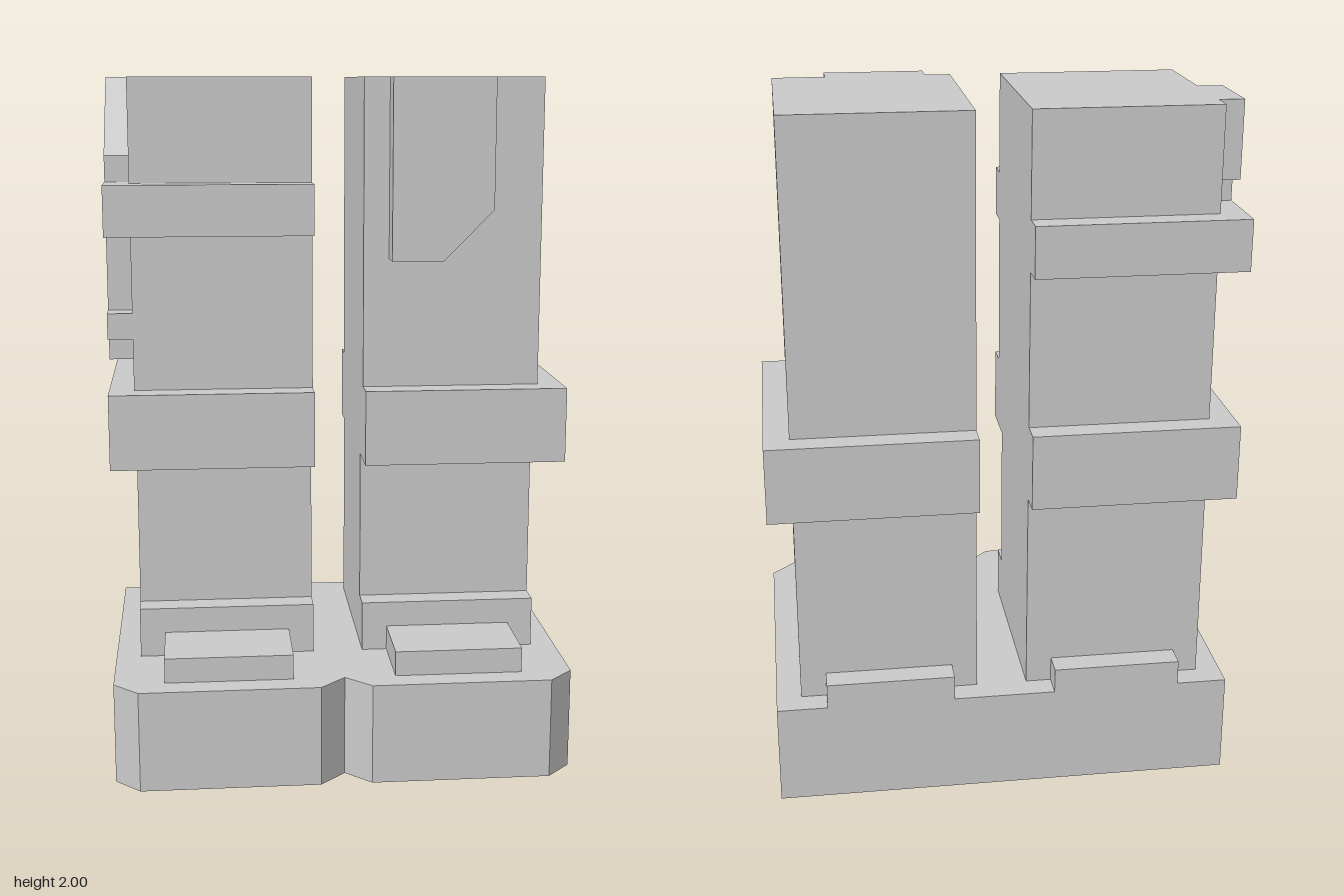
import * as THREE from 'three';

const material = new THREE.MeshStandardMaterial({ color: 0xcccccc, flatShading: true });

// Box given by its minimum and maximum along each axis
function block(name, x0, x1, y0, y1, z0, z1) {
  const mesh = new THREE.Mesh(new THREE.BoxGeometry(x1 - x0, y1 - y0, z1 - z0), material);
  mesh.name = name;
  mesh.position.set((x0 + x1) / 2, (y0 + y1) / 2, (z0 + z1) / 2);
  return mesh;
}

// Flat outline extruded along +z
function plate(name, points, depth) {
  const shape = new THREE.Shape(points.map(([x, y]) => new THREE.Vector2(x, y)));
  const mesh = new THREE.Mesh(new THREE.ExtrudeGeometry(shape, { depth, bevelEnabled: false }), material);
  mesh.name = name;
  return mesh;
}

// Plan outline (x, z) standing between two heights
function slab(name, plan, y0, y1) {
  const mesh = plate(name, plan.map(([x, z]) => [x, -z]), y1 - y0);
  mesh.rotation.x = -Math.PI / 2;
  mesh.position.y = y0;
  return mesh;
}

const W = 0.665, D = 0.48;

// Base plan: chamfered front corners and a V notch between the feet
function basePlan(back) {
  return [[-W, back], [W, back], [W, 0.408], [0.593, D], [0.074, D],
    [0, 0.408], [-0.074, D], [-0.593, D], [-W, 0.408]];
}

function createBase() {
  const base = new THREE.Group();
  base.name = 'base';
  base.add(slab('baseSlab', basePlan(-D), 0.075, 0.297));
  // Groove across the underside lies between these two
  base.add(slab('frontSole', basePlan(-0.11), 0, 0.075));
  base.add(block('backSole', -W, W, 0, 0.075, -D, -0.26));
  return base;
}

// side is +1 for the model's left, -1 for its right
function createLeg(name, side, bands) {
  const leg = new THREE.Group();
  leg.name = name;
  const add = (part, a, b, ...rest) =>
    leg.add(block(part, Math.min(a * side, b * side), Math.max(a * side, b * side), ...rest));
  add('upperLeg', 0.074, 0.593, 0.89, 2, -0.408, 0.184);
  add('lowerLeg', 0.074, 0.593, 0.297, 0.89, -0.408, 0.11);
  add('ankle', 0.074, 0.593, 0.297, 0.445, 0.11, 0.184);
  add('toe', 0.148, 0.519, 0.297, 0.37, 0.184, 0.408);
  add('heel', 0.148, 0.519, 0.297, 0.37, -D, -0.408);
  for (const [y0, y1] of bands) add('band', 0.074, W, y0, y1, -D, 0.26);
  return leg;
}

export function createModel() {
  const model = new THREE.Group();
  model.name = 'leggedBlock';
  model.add(createBase());
  model.add(createLeg('leftLeg', 1, [[0.89, 1.11]]));
  model.add(createLeg('rightLeg', -1, [[0.89, 1.11], [1.56, 1.705]]));

  // Cut-corner plate hanging on the front of the left leg
  const flap = plate('frontFlap', [[0.148, 1.485], [0.297, 1.485], [0.44, 1.63], [0.44, 2], [0.148, 2]], 0.076);
  flap.position.z = 0.184;
  model.add(flap);

  // Stepped plate on the outer side of the right leg, outline in (z, y)
  const outline = [
    [-0.335, 2], [-0.335, 1.78], [-0.26, 1.78], [-0.26, 1.56], [-0.187, 1.56], [-0.187, 1.48],
    [-0.112, 1.48], [-0.112, 1.335], [-0.037, 1.335], [-0.037, 1.19], [0.11, 1.19], [0.11, 1.26],
    [0.184, 1.26], [0.184, 1.335], [0.11, 1.335], [0.11, 1.78], [-0.112, 2],
  ];
  const sidePlate = plate('sidePlate', outline, 0.072);
  sidePlate.rotation.y = -Math.PI / 2;
  sidePlate.position.x = -0.593;
  model.add(sidePlate);
  return model;
}
